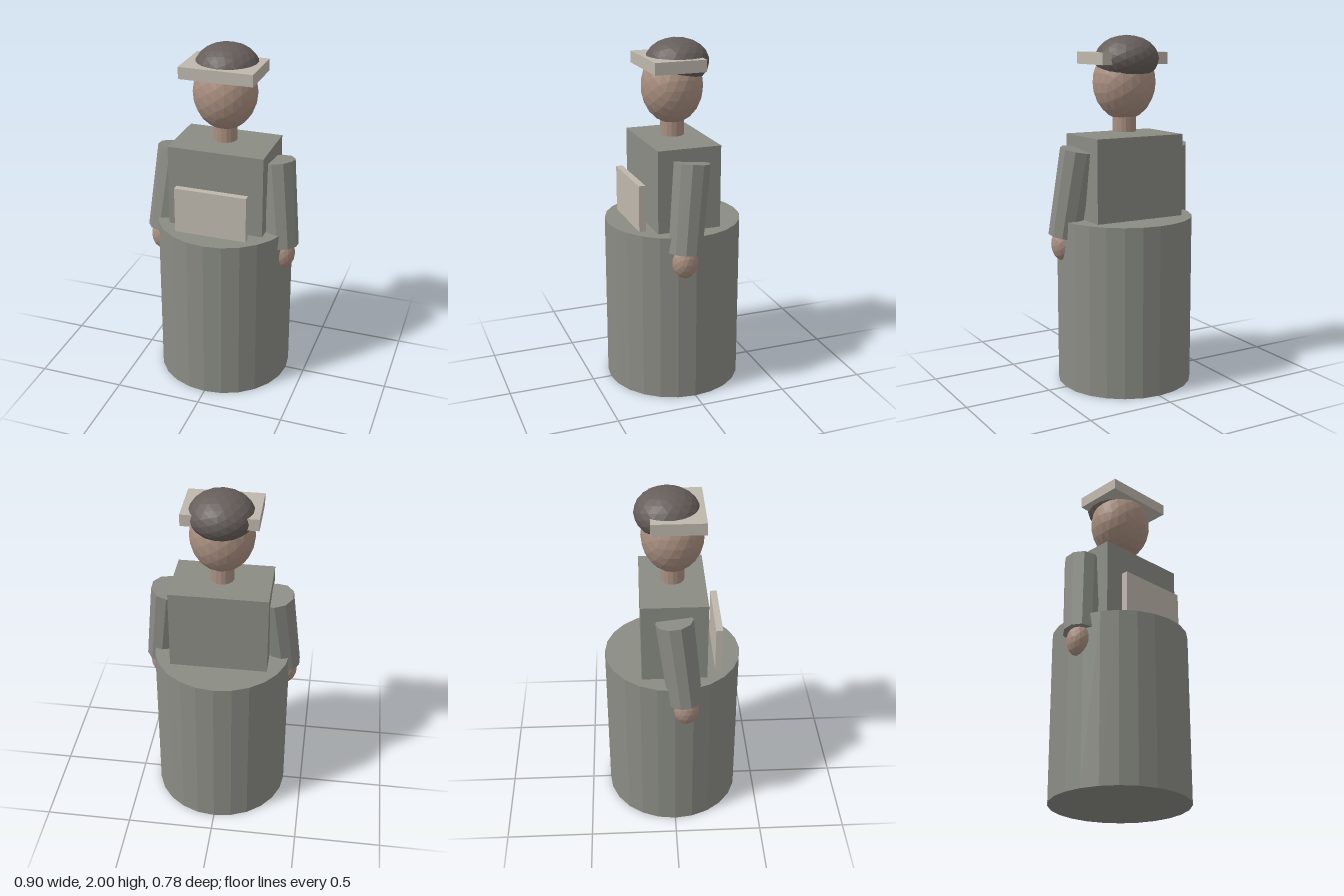
import * as THREE from 'three';

const flat = (name, color) => {
  const m = new THREE.MeshStandardMaterial({ color, flatShading: true });
  m.name = name;
  return m;
};

export function createModel() {
  const model = new THREE.Group();
  model.name = 'servantFigure';

  const dress = flat('dressGrey', 0x8a8c84);
  const linen = flat('linen', 0xbeb7ac);
  const skin = flat('skin', 0xa98f80);
  const hairBrown = flat('hairBrown', 0x665e5b);

  const add = (name, geometry, material, x, y, z) => {
    const mesh = new THREE.Mesh(geometry, material);
    mesh.name = name;
    mesh.position.set(x, y, z);
    model.add(mesh);
    return mesh;
  };
  // Faceted ellipsoid with the given radii
  const ellipsoid = (rx, ry, rz, detail) =>
    new THREE.IcosahedronGeometry(1, detail).scale(rx, ry, rz);

  // Skirt and upper body
  add('skirt', new THREE.CylinderGeometry(0.39, 0.39, 0.975, 24), dress, 0, 0.4875, 0);
  add('torso', new THREE.BoxGeometry(0.552, 0.545, 0.366), dress, 0, 1.1725, 0);
  add('apronBib', new THREE.BoxGeometry(0.416, 0.34, 0.038), linen, 0, 1.07, 0.251);

  // Neck, head, hair and cap brim
  add('neck', new THREE.CylinderGeometry(0.067, 0.067, 0.1, 16), skin, 0, 1.51, 0);
  add('head', ellipsoid(0.18, 0.212, 0.173, 3), skin, 0, 1.737, 0.002);
  add('hair', ellipsoid(0.181, 0.13, 0.179, 3), hairBrown, 0, 1.87, -0.027);
  add('capBrim', new THREE.BoxGeometry(0.418, 0.067, 0.294), linen, 0, 1.872, 0.025);

  // Sleeves hang outward and slightly forward, hands below them
  for (const [side, s] of [['left', 1], ['right', -1]]) {
    const shoulder = new THREE.Vector3(s * 0.298, 1.372, -0.003);
    const wrist = new THREE.Vector3(s * 0.358, 0.88, 0.056);
    const axis = shoulder.clone().sub(wrist);
    const centre = shoulder.clone().add(wrist).multiplyScalar(0.5);
    const sleeve = add(side + 'Sleeve',
      new THREE.CylinderGeometry(0.104, 0.095, axis.length(), 10), dress,
      centre.x, centre.y, centre.z);
    sleeve.quaternion.setFromUnitVectors(new THREE.Vector3(0, 1, 0), axis.normalize());
    add(side + 'Hand', ellipsoid(0.07, 0.097, 0.073, 2), skin, s * 0.365, 0.832, 0.06);
  }

  return model;
}
